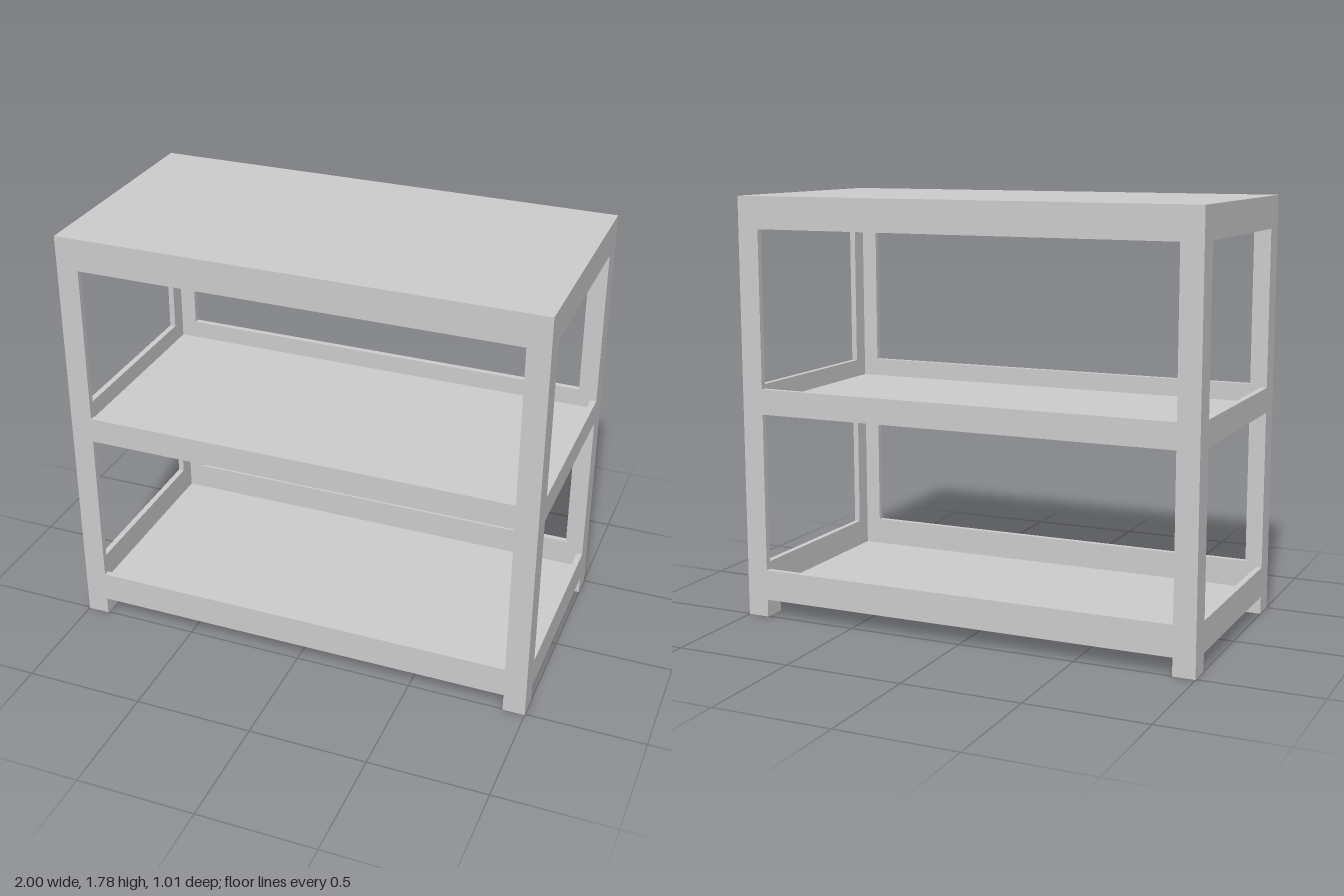
import * as THREE from 'three';

const W = 2, D = 1.01, H = 1.785;  // overall size
const POST = 0.093, T = 0.025;     // post face width, sheet thickness
const FOOT = 0.075, TOP = H - T;   // underside of bottom shelf, underside of top

export function createModel() {
  const group = new THREE.Group();
  group.name = 'shelvingUnit';
  const mat = new THREE.MeshStandardMaterial({ color: 0xcccccc });

  const add = (name, geo, x, y, z, turn = 0) => {
    const mesh = new THREE.Mesh(geo, mat);
    mesh.name = name;
    mesh.position.set(x, y, z);
    mesh.rotation.y = turn;
    group.add(mesh);
  };
  const box = (name, w, y0, y1, d, x = 0, z = 0) =>
    add(name, new THREE.BoxGeometry(w, y1 - y0, d), x, (y0 + y1) / 2, z);
  const rect = (Kind, x, y0, y1) => new Kind([[-x, y0], [x, y0], [x, y1], [-x, y1]]
    .map(([a, b]) => new THREE.Vector2(a, b)));

  // Frame panel: angle-post faces and rails around two openings
  const panel = (half, openHalf) => {
    const shape = rect(THREE.Shape, half, FOOT, TOP);
    for (const [y0, y1] of [[0.205, 0.878], [0.985, 1.65]])
      shape.holes.push(rect(THREE.Path, openHalf, y0, y1));
    return new THREE.ExtrudeGeometry(shape, { depth: T, bevelEnabled: false });
  };
  const longPanel = panel(W / 2, W / 2 - POST);
  const endPanel = panel(D / 2 - T, D / 2 - 0.1);
  add('frontFrame', longPanel, 0, 0, D / 2 - T);
  add('backFrame', longPanel, 0, 0, -D / 2);
  add('leftFrame', endPanel, W / 2 - T, 0, 0, Math.PI / 2);
  add('rightFrame', endPanel, -W / 2, 0, 0, Math.PI / 2);

  // Top and shelves set inside the frame
  box('topPanel', W, TOP, H, D);
  box('middleShelf', W - 2 * T, 0.878, 0.908, D - 2 * T);
  box('bottomShelf', W - 2 * T, FOOT, 0.088, D - 2 * T);

  // Solid feet under the corners
  for (const sx of [-1, 1]) for (const sz of [-1, 1])
    box('foot', POST, 0, FOOT, 0.1, sx * (W - POST) / 2, sz * (D - 0.1) / 2);

  return group;
}
